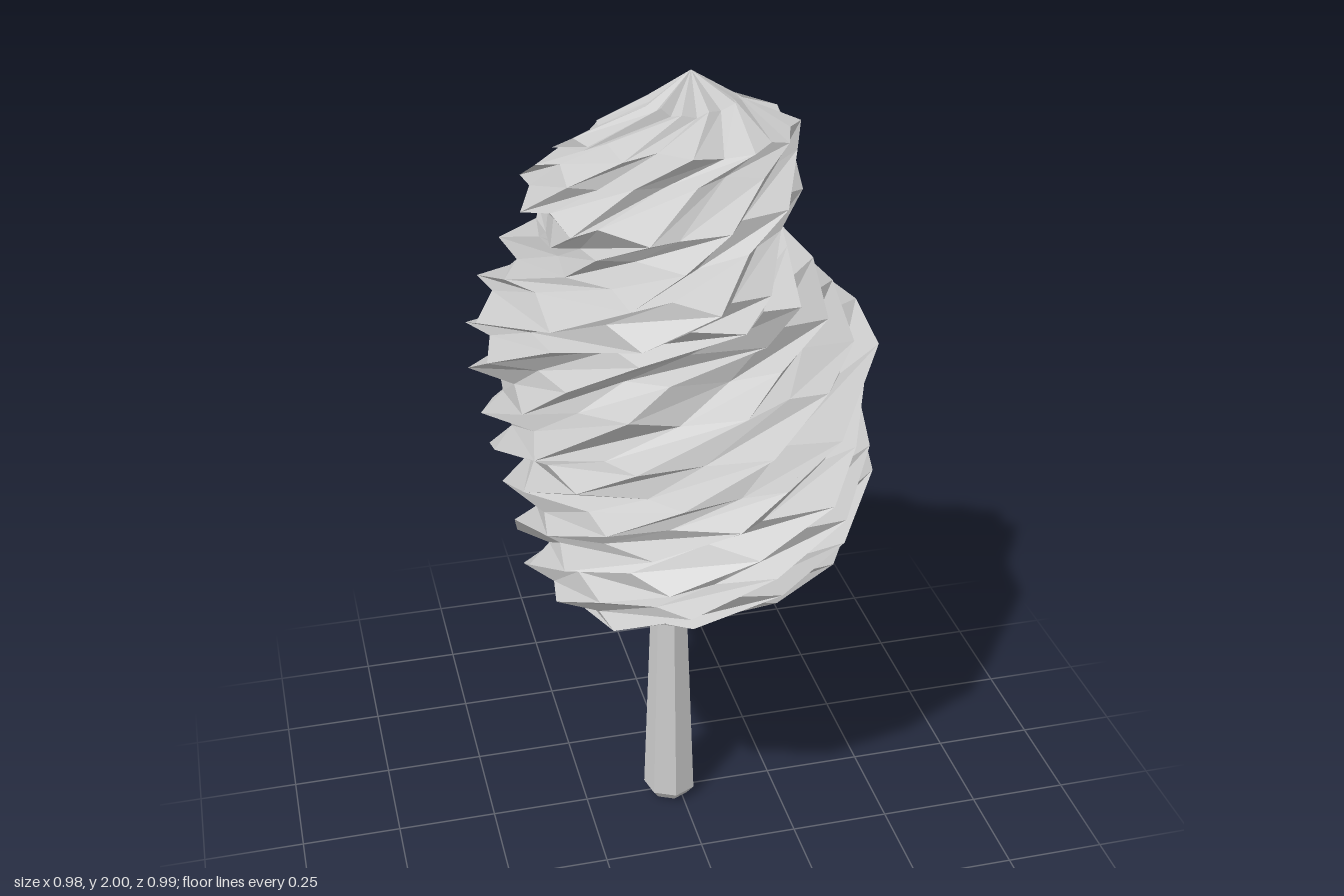
import * as THREE from 'three';

// Small seeded generator for the uneven sugar strands
function seeded(seed) {
  return () => {
    seed = (seed * 16807) % 2147483647;
    return seed / 2147483647;
  };
}

// Cross-sections of the floss: y, xMin, xMax, zMin, zMax
const SECTIONS = [
  [0.65, -0.22, 0.14, -0.23, 0.13],
  [0.70, -0.29, 0.21, -0.27, 0.25],
  [0.78, -0.38, 0.29, -0.29, 0.38],
  [0.85, -0.39, 0.36, -0.32, 0.44],
  [0.92, -0.40, 0.41, -0.38, 0.45],
  [1.00, -0.42, 0.45, -0.43, 0.46],
  [1.08, -0.43, 0.44, -0.47, 0.48],
  [1.15, -0.45, 0.44, -0.47, 0.47],
  [1.22, -0.47, 0.45, -0.43, 0.44],
  [1.30, -0.47, 0.48, -0.41, 0.38],
  [1.37, -0.49, 0.43, -0.39, 0.32],
  [1.45, -0.47, 0.38, -0.41, 0.33],
  [1.53, -0.41, 0.30, -0.46, 0.42],
  [1.60, -0.32, 0.23, -0.42, 0.43],
  [1.67, -0.33, 0.22, -0.36, 0.36],
  [1.74, -0.38, 0.25, -0.26, 0.36],
  [1.81, -0.32, 0.26, -0.20, 0.26],
  [1.87, -0.24, 0.26, -0.13, 0.24],
  [1.93, -0.08, 0.13, -0.07, 0.12],
];

function flossGeometry() {
  const strands = 11, cols = strands * 2, twist = 5.6;
  const rand = seeded(4127);
  const pos = [], index = [];

  // Each column is one ridge or groove, wound upward around the body
  SECTIONS.forEach(([y, x0, x1, z0, z1], i) => {
    const cx = (x0 + x1) / 2, cz = (z0 + z1) / 2;
    const rx = (x1 - x0) / 2, rz = (z1 - z0) / 2;
    const depth = i === 0 ? 0.04 : 0.13;
    for (let j = 0; j < cols; j++) {
      const a = (j + (rand() - 0.5) * 0.5) / cols * Math.PI * 2 - twist * (y - 0.65);
      const k = (j % 2 ? 1.03 - depth : 1.03) + (rand() - 0.5) * 0.07;
      const dy = (rand() - 0.5) * 0.035;
      pos.push(cx + Math.cos(a) * rx * k, y + dy, cz + Math.sin(a) * rz * k);
    }
  });

  const rows = SECTIONS.length;
  const bottom = rows * cols, top = bottom + 1;
  pos.push(-0.02, 0.62, -0.04, 0.02, 2, 0.03);
  for (let j = 0; j < cols; j++) {
    const n = (j + 1) % cols;
    for (let i = 0; i < rows - 1; i++) {
      const a = i * cols + j, b = i * cols + n, c = a + cols, d = b + cols;
      index.push(a, c, b, b, c, d);
    }
    const last = (rows - 1) * cols;
    index.push(bottom, j, n, top, last + n, last + j);
  }

  const geo = new THREE.BufferGeometry();
  geo.setAttribute('position', new THREE.Float32BufferAttribute(pos, 3));
  geo.setIndex(index);
  const flat = geo.toNonIndexed();
  flat.computeVertexNormals();
  return flat;
}

export function createModel() {
  const group = new THREE.Group();
  const material = new THREE.MeshStandardMaterial({ color: 0xcccccc, flatShading: true });

  // Twisted floss head
  const floss = new THREE.Mesh(flossGeometry(), material);
  floss.name = 'cottonCandy';
  group.add(floss);

  // Tapered stick, wider at its chamfered foot
  const profile = [[0, 0], [0.05, 0.005], [0.069, 0.03], [0.046, 0.64], [0.044, 0.72], [0, 0.72]]
    .map(([r, y]) => new THREE.Vector2(r, y));
  const stick = new THREE.Mesh(new THREE.LatheGeometry(profile, 7), material);
  stick.name = 'stick';
  stick.position.set(-0.025, 0, 0.01);
  group.add(stick);

  return group;
}
